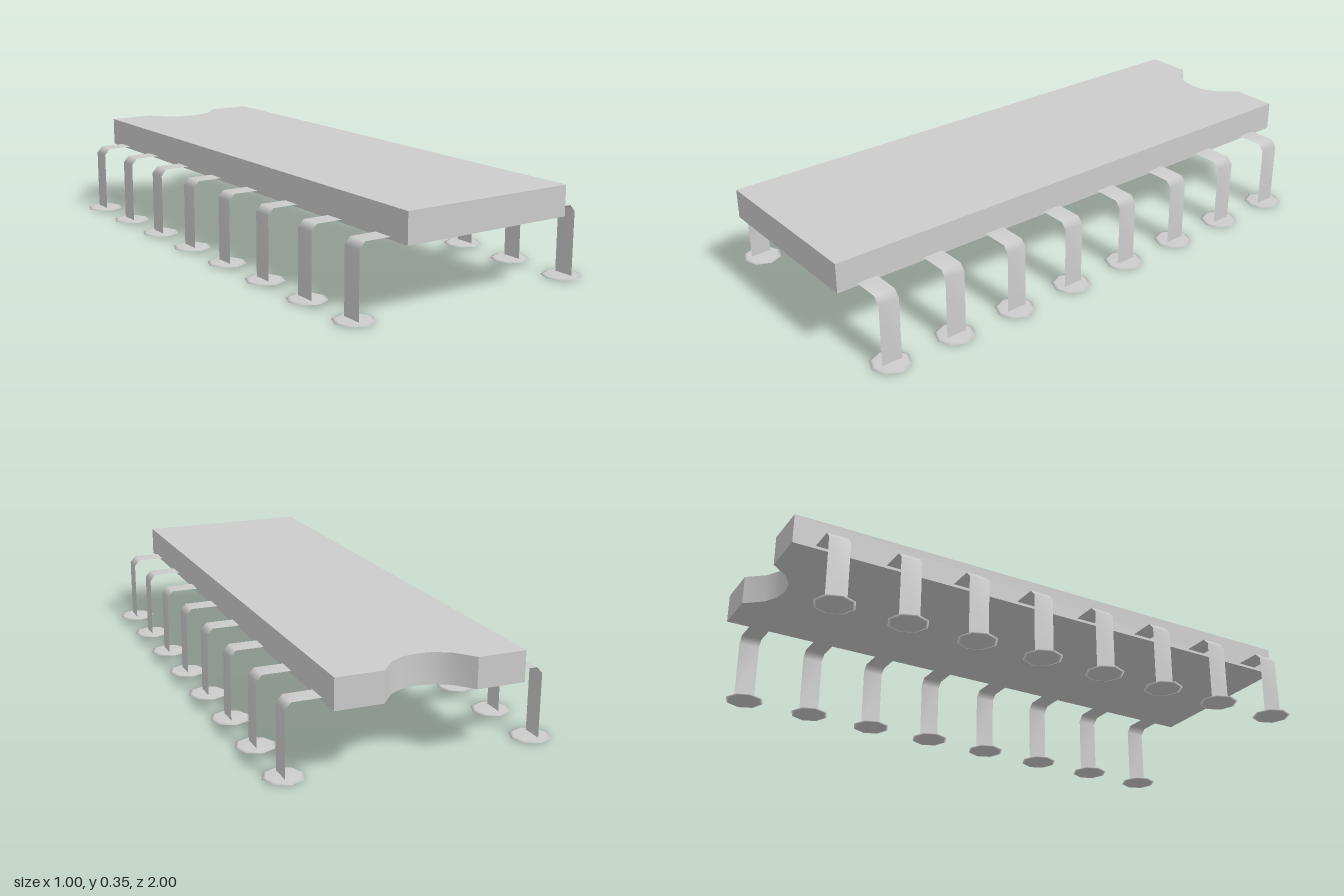
import * as THREE from 'three';
import { toCreasedNormals } from 'three/addons/utils/BufferGeometryUtils.js';

const material = new THREE.MeshStandardMaterial({ color: 0xcccccc });
const thinMaterial = new THREE.MeshStandardMaterial({ color: 0xcccccc, side: THREE.DoubleSide });

// Flat slab with a rounded notch in its back end
function createBody() {
  const notch = [[0.157, 1], [0.105, 0.937], [0.056, 0.909], [0, 0.9],
    [-0.056, 0.909], [-0.105, 0.937], [-0.157, 1]];
  const outline = [[-0.325, -1], [0.32, -1], [0.32, 1], ...notch, [-0.325, 1]];
  const shape = new THREE.Shape(outline.map(([x, y]) => new THREE.Vector2(x, y)));
  const slab = new THREE.ExtrudeGeometry(shape, { depth: 0.105, bevelEnabled: false });
  slab.rotateX(-Math.PI / 2).translate(0, 0.245, 0);
  const body = new THREE.Mesh(toCreasedNormals(slab, 0.6), material);
  body.name = 'body';
  return body;
}

// Thin strip that leaves the body, bends and drops to the foot
function createLegGeometry(side) {
  const path = [[0.32, 0.255], [0.419, 0.255], [0.44, 0.232], [0.44, 0.004]];
  const strip = new THREE.PlaneGeometry(1, 0.075, path.length - 1, 1);
  const pos = strip.attributes.position;
  for (let i = 0; i < pos.count; i++) {
    const [x, y] = path[i % path.length];
    pos.setXYZ(i, side * x, y, -side * pos.getY(i));
  }
  strip.computeVertexNormals();
  return strip;
}

// Low eight-sided domed pad
function createFootGeometry() {
  const profile = [[0, 0], [0.06, 0.001], [0.07, 0.003], [0.058, 0.007], [0, 0.008]];
  return new THREE.LatheGeometry(profile.map(([r, y]) => new THREE.Vector2(r, y)), 8);
}

export function createModel() {
  const model = new THREE.Group();
  model.name = 'chip';
  model.add(createBody());

  const footGeometry = createFootGeometry();
  for (const side of [-1, 1]) {
    const legGeometry = createLegGeometry(side);
    for (let i = 0; i < 8; i++) {
      const pin = new THREE.Group();
      pin.name = (side > 0 ? 'leftPin' : 'rightPin') + (i + 1);
      pin.position.z = -0.878 + i * 0.252 + side * 0.005;

      const leg = new THREE.Mesh(legGeometry, thinMaterial);
      leg.name = 'leg';
      const foot = new THREE.Mesh(footGeometry, material);
      foot.name = 'foot';
      foot.position.x = side * 0.431;
      pin.add(leg, foot);
      model.add(pin);
    }
  }
  return model;
}
